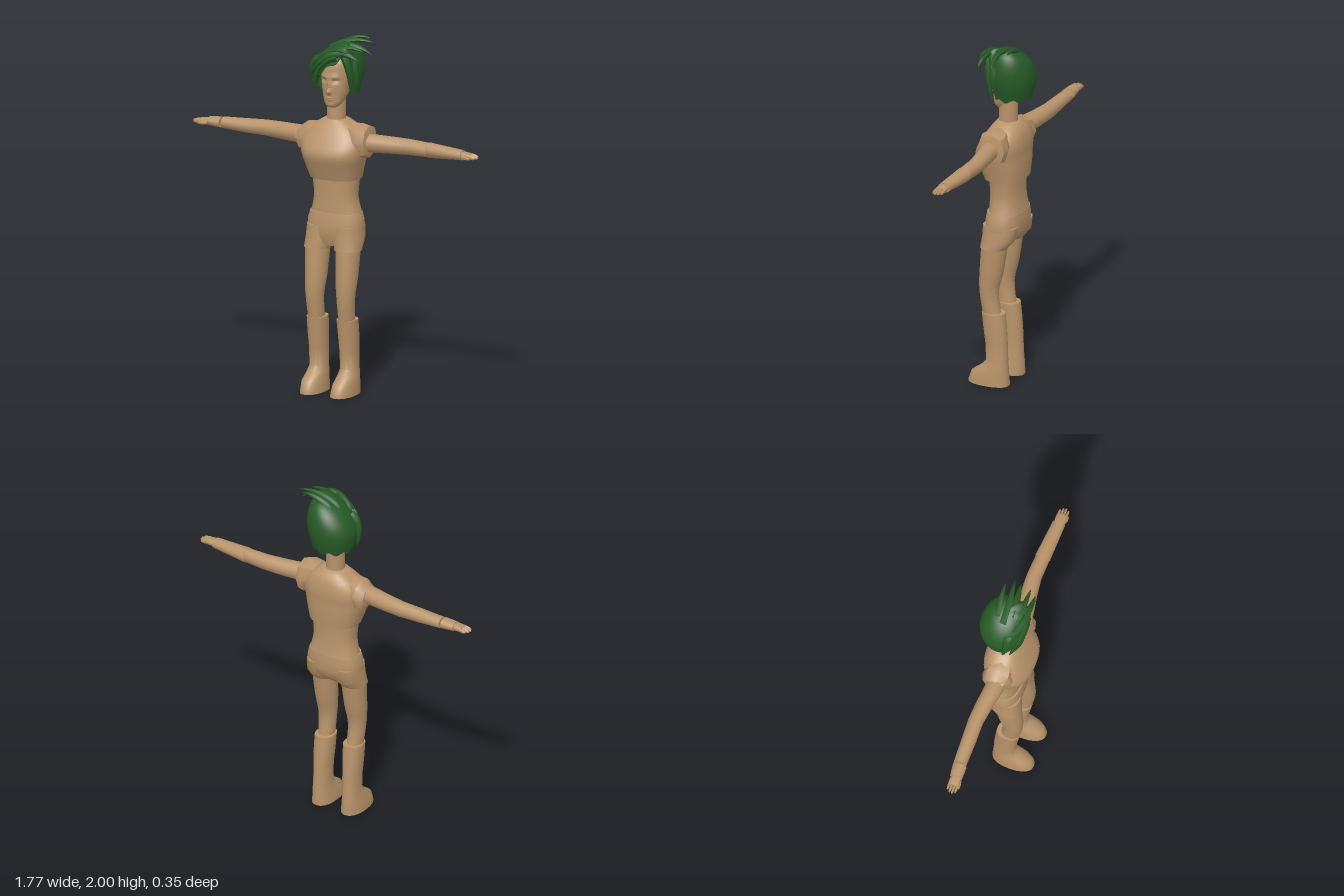
import * as THREE from 'three';
import { toCreasedNormals } from 'three/addons/utils/BufferGeometryUtils.js';

const skin = new THREE.MeshStandardMaterial({ color: 0xb8936a });
skin.name = 'tan skin';
const green = new THREE.MeshStandardMaterial({ color: 0x265a26, side: THREE.DoubleSide });
green.name = 'green hair';

// Smoothly resample a list of cross-sections
function resample(rings, steps) {
  const out = [];
  for (let i = 0; i < rings.length - 1; i++) {
    const a = rings[Math.max(i - 1, 0)], b = rings[i], c = rings[i + 1], d = rings[Math.min(i + 2, rings.length - 1)];
    for (let s = 0; s < steps; s++) {
      const t = s / steps;
      out.push(b.map((_, k) => b[k] + 0.5 * t * (c[k] - a[k] + t * (2 * a[k] - 5 * b[k] + 4 * c[k] - d[k]
        + t * (3 * (b[k] - c[k]) + d[k] - a[k])))));
    }
  }
  out.push(rings[rings.length - 1]);
  return out;
}

// Closed loft. Ring: [position, uMin, uMax, vMin, vMax]
// axis 'y': u = x, v = z; axis 'x': u = z, v = y
function loft(rings, { axis = 'y', n = 20, power = 2, warp = null } = {}) {
  const rows = [...rings].sort((a, b) => a[0] - b[0]);
  const pos = [], idx = [];
  const put = (p, u, v) => {
    const q = axis === 'y' ? new THREE.Vector3(u, p, v) : new THREE.Vector3(p, v, u);
    if (warp) warp(q);
    pos.push(q.x, q.y, q.z);
  };
  const soft = c => Math.sign(c) * Math.abs(c) ** (2 / power);
  for (const [p, u0, u1, v0, v1] of rows) {
    for (let j = 0; j < n; j++) {
      const a = (j / n) * Math.PI * 2;
      put(p, (u0 + u1) / 2 + soft(Math.cos(a)) * (u1 - u0) / 2, (v0 + v1) / 2 + soft(Math.sin(a)) * (v1 - v0) / 2);
    }
  }
  for (let i = 0; i < rows.length - 1; i++) {
    for (let j = 0; j < n; j++) {
      const a = i * n + j, b = i * n + (j + 1) % n;
      idx.push(a, a + n, b, b, a + n, b + n);
    }
  }
  [rows[0], rows[rows.length - 1]].forEach(([p, u0, u1, v0, v1], top) => {
    const centre = pos.length / 3, base = top ? (rows.length - 1) * n : 0;
    put(p, (u0 + u1) / 2, (v0 + v1) / 2);
    for (let j = 0; j < n; j++) {
      const a = base + j, b = base + (j + 1) % n;
      idx.push(centre, ...(top ? [b, a] : [a, b]));
    }
  });
  const g = new THREE.BufferGeometry();
  g.setAttribute('position', new THREE.Float32BufferAttribute(pos, 3));
  g.setIndex(idx);
  return toCreasedNormals(g, 0.8);
}

// Facial relief: [x, y, width, height, depth]
const relief = [
  [0, 1.698, 0.013, 0.016, 0.024], [0, 1.74, 0.011, 0.03, 0.012],
  [0, 1.664, 0.022, 0.005, 0.006], [0, 1.65, 0.018, 0.005, 0.005], [0, 1.62, 0.02, 0.012, 0.006],
  ...[-1, 1].flatMap(s => [[s * 0.036, 1.757, 0.02, 0.01, -0.014], [s * 0.036, 1.755, 0.012, 0.004, 0.005],
    [s * 0.034, 1.782, 0.025, 0.009, 0.006]]),
];
function faceWarp(q) {
  if (q.z < 0.005) return;
  for (const [x, y, w, h, d] of relief) q.z += d * Math.exp(-(((q.x - x) / w) ** 2) - ((q.y - y) / h) ** 2);
}

// Hair shell with a hairline that varies around the head
function hairShell() {
  const n = 48, m = 14, pos = [], idx = [];
  for (let i = 0; i <= m; i++) {
    for (let j = 0; j < n; j++) {
      const phi = (j / n) * Math.PI * 2 - Math.PI, s = Math.sin(phi), c = Math.cos(phi);
      const open = THREE.MathUtils.smoothstep(c, 0.38, 0.62);
      const low = 1.685 + 0.012 * Math.cos(phi * 9) + open * (0.15 + 0.09 * s);
      const t = i / m, e = t * Math.PI / 2;
      const mid = Math.max(low, 1.8);
      let y, r;
      if (t < 0.4) {
        y = low + (mid - low) * (t / 0.4);
        r = 1 - 0.17 * ((1.8 - Math.min(y, 1.8)) / 0.12) ** 1.5;
      } else {
        const k = ((t - 0.4) / 0.6) * Math.PI / 2;
        y = mid + (1.962 - mid) * Math.sin(k);
        r = Math.cos(k) ** 0.75;
      }
      const x = 0.142 * s * r + 0.025 * Math.sin(e) ** 3;
      const lift = Math.max(0, (y - 1.78) / 0.18);
      pos.push(x, y + 0.32 * (x - 0.02) * lift, -0.037 + 0.135 * c * r);
    }
  }
  for (let i = 0; i < m; i++) {
    for (let j = 0; j < n; j++) {
      const a = i * n + j, b = i * n + (j + 1) % n;
      idx.push(a, b, a + n, b, b + n, a + n);
    }
  }
  const g = new THREE.BufferGeometry();
  g.setAttribute('position', new THREE.Float32BufferAttribute(pos, 3));
  g.setIndex(idx);
  g.computeVertexNormals();
  return g;
}

// Tapered lock of hair along a bent path
function lock(a, b, c, radius) {
  const curve = new THREE.QuadraticBezierCurve3(...[a, b, c].map(p => new THREE.Vector3(...p)));
  const g = new THREE.TubeGeometry(curve, 8, radius, 6);
  const p = g.attributes.position, v = new THREE.Vector3();
  for (let i = 0; i < p.count; i++) {
    const t = Math.floor(i / 7) / 8, o = curve.getPointAt(t);
    v.fromBufferAttribute(p, i).sub(o).multiplyScalar(0.02 + 0.98 * (1 - t) ** 0.7).add(o);
    p.setXYZ(i, v.x, v.y, v.z);
  }
  g.computeVertexNormals();
  return g;
}

export function createModel() {
  const model = new THREE.Group();
  const add = (name, geometry, material = skin) => {
    const mesh = new THREE.Mesh(geometry, material);
    mesh.name = name;
    model.add(mesh);
  };

  // Trunk
  add('chest', loft(resample([[1.205, -0.143, 0.146, -0.122, 0.1], [1.28, -0.165, 0.165, -0.127, 0.127],
    [1.35, -0.182, 0.182, -0.127, 0.148], [1.42, -0.185, 0.185, -0.128, 0.118],
    [1.49, -0.135, 0.135, -0.113, 0.075], [1.535, -0.065, 0.065, -0.075, 0.04]], 3), { n: 32, power: 2.5 }));
  add('waist', loft(resample([[1.01, -0.145, 0.145, -0.112, 0.072], [1.1, -0.126, 0.126, -0.1, 0.07],
    [1.21, -0.138, 0.138, -0.1, 0.07]], 3), { n: 28, power: 2.4 }));
  add('hips', loft([[0.83, -0.13, 0.13, -0.06, 0.07], [0.87, -0.155, 0.155, -0.104, 0.085],
    [0.92, -0.162, 0.162, -0.116, 0.088], [0.97, -0.16, 0.16, -0.116, 0.086],
    [1.012, -0.147, 0.147, -0.113, 0.08]], { n: 28, power: 2.6 }));
  add('neck', loft([[1.52, -0.053, 0.053, -0.068, 0.038], [1.67, -0.052, 0.052, -0.07, 0.034]]));

  // Head
  add('head', loft(resample([[1.606, -0.03, 0.03, -0.01, 0.05], [1.63, -0.05, 0.05, -0.035, 0.062],
    [1.68, -0.068, 0.068, -0.09, 0.067], [1.74, -0.08, 0.08, -0.128, 0.07], [1.8, -0.086, 0.086, -0.14, 0.068],
    [1.86, -0.083, 0.083, -0.13, 0.058], [1.91, -0.055, 0.055, -0.09, 0.02]], 10), { n: 72, power: 2.2, warp: faceWarp }));

  // Hair
  add('hairShell', hairShell(), green);
  const locks = [
    // crown, swept to the side
    [[-0.03, 1.92, -0.03], [0.08, 2.0, -0.03], [0.21, 1.975, -0.05], 0.028],
    [[0.0, 1.93, -0.07], [0.09, 2.005, -0.09], [0.17, 1.985, -0.09], 0.025],
    [[0.02, 1.93, 0.0], [0.12, 1.985, 0.0], [0.22, 1.91, -0.02], 0.03],
    [[-0.02, 1.9, 0.03], [0.1, 1.98, 0.05], [0.2, 1.94, 0.045], 0.028],
    [[0.02, 1.9, 0.05], [0.1, 1.95, 0.09], [0.19, 1.89, 0.075], 0.026],
    [[-0.06, 1.88, 0.04], [0.04, 1.97, 0.09], [0.14, 1.93, 0.09], 0.026],
    // fringe and temples
    [[0.09, 1.93, 0.06], [-0.04, 1.9, 0.115], [-0.125, 1.77, 0.05], 0.03],
    [[0.05, 1.9, 0.07], [-0.06, 1.87, 0.1], [-0.115, 1.68, 0.035], 0.032],
    [[0.02, 1.88, 0.07], [-0.07, 1.85, 0.1], [-0.09, 1.7, 0.055], 0.026],
    [[-0.08, 1.87, 0.02], [-0.15, 1.84, 0.03], [-0.13, 1.7, 0.0], 0.028],
    [[0.08, 1.92, 0.05], [0.13, 1.85, 0.06], [0.115, 1.675, 0.025], 0.028],
    [[0.1, 1.9, 0.0], [0.16, 1.83, 0.02], [0.125, 1.69, -0.01], 0.026],
  ];
  locks.forEach((l, i) => add('hairLock' + (i + 1), lock(...l), green));

  for (const [side, s] of [['left', 1], ['right', -1]]) {
    // Ring list mirrored along x, for parts lofted along x or along y
    const along = list => list.map(([p, ...r]) => [s * p, ...r]);
    const beside = list => list.map(([p, a, b, ...r]) => (s > 0 ? [p, a, b, ...r] : [p, -b, -a, ...r]));
    const across = { axis: 'x', n: 14 };

    // Shoulder pad, fuller on the left
    add(side + 'Shoulder', loft(along(s > 0
      ? [[0.1, -0.08, 0.06, 1.37, 1.52], [0.17, -0.103, 0.083, 1.325, 1.525], [0.21, -0.095, 0.07, 1.335, 1.515],
        [0.218, -0.07, 0.055, 1.36, 1.48]]
      : [[0.1, -0.08, 0.06, 1.37, 1.51], [0.17, -0.098, 0.075, 1.33, 1.5], [0.205, -0.085, 0.06, 1.335, 1.475],
        [0.218, -0.07, 0.055, 1.36, 1.468]]), { axis: 'x', n: 8, power: 2.2 }));

    // Arm, with a bare gap above the right wrist
    const wrist = s > 0 ? [[0.57, -0.069, 0.013, 1.378, 1.457], [0.572, -0.072, 0.016, 1.375, 1.46],
      [0.79, -0.052, 0.02, 1.39, 1.446]] : [[0.57, -0.069, 0.013, 1.378, 1.457], [0.708, -0.062, 0.012, 1.386, 1.45]];
    add(side + 'Arm', loft(along([[0.17, -0.056, 0.05, 1.368, 1.47], [0.24, -0.06, 0.044, 1.368, 1.469],
      [0.35, -0.07, 0.024, 1.371, 1.466], [0.45, -0.075, 0.01, 1.374, 1.463], ...wrist]), across));
    if (s < 0) add('rightCuff', loft(along([[0.718, -0.062, 0.018, 1.388, 1.449], [0.792, -0.052, 0.018, 1.394, 1.444]]), across));

    // Hand, four fingers and thumb
    add(side + 'Palm', loft(along([[0.78, -0.042, 0.012, 1.4, 1.44], [0.81, -0.047, 0.016, 1.4, 1.436],
      [0.84, -0.046, 0.016, 1.404, 1.432]]), { axis: 'x', n: 14, power: 2.6 }));
    [0.87, 0.882, 0.886, 0.876].forEach((tip, i) => {
      const z = -0.046 + i * 0.0155;
      add(side + 'Finger' + (i + 1), loft(along([[0.83, z, z + 0.016, 1.405, 1.431], [tip - 0.012, z + 0.001, z + 0.015, 1.403, 1.425],
        [tip, z + 0.004, z + 0.012, 1.408, 1.42]]), { axis: 'x', n: 8 }));
    });
    add(side + 'Thumb', loft(along([[0.79, 0.0, 0.014, 1.402, 1.424], [0.82, 0.008, 0.024, 1.4, 1.42],
      [0.847, 0.012, 0.022, 1.402, 1.414]]), { axis: 'x', n: 8 }));

    // Trouser top, leg and boot
    add(side + 'Thigh', loft(beside([[0.808, 0.022, 0.168, -0.054, 0.099], [0.87, 0.004, 0.165, -0.105, 0.092],
      [0.94, 0.005, 0.16, -0.113, 0.088]]), { n: 20, power: 2.3 }));
    add(side + 'Leg', loft(beside(resample([[0.41, 0.05, 0.138, -0.015, 0.09], [0.54, 0.046, 0.147, -0.001, 0.108],
      [0.66, 0.034, 0.157, -0.028, 0.107], [0.83, 0.026, 0.163, -0.055, 0.095]], 3)), { n: 20 }));
    add(side + 'Boot', loft(beside([[0, 0.032, 0.158, -0.066, 0.175], [0.015, 0.032, 0.157, -0.066, 0.174],
      [0.065, 0.038, 0.155, -0.063, 0.155], [0.105, 0.043, 0.149, -0.06, 0.098], [0.14, 0.048, 0.143, -0.057, 0.067],
      [0.24, 0.046, 0.144, -0.054, 0.072], [0.34, 0.041, 0.148, -0.047, 0.085], [0.42, 0.038, 0.148, -0.038, 0.094]]),
    { n: 20, power: 2.3 }));
  }
  return model;
}
